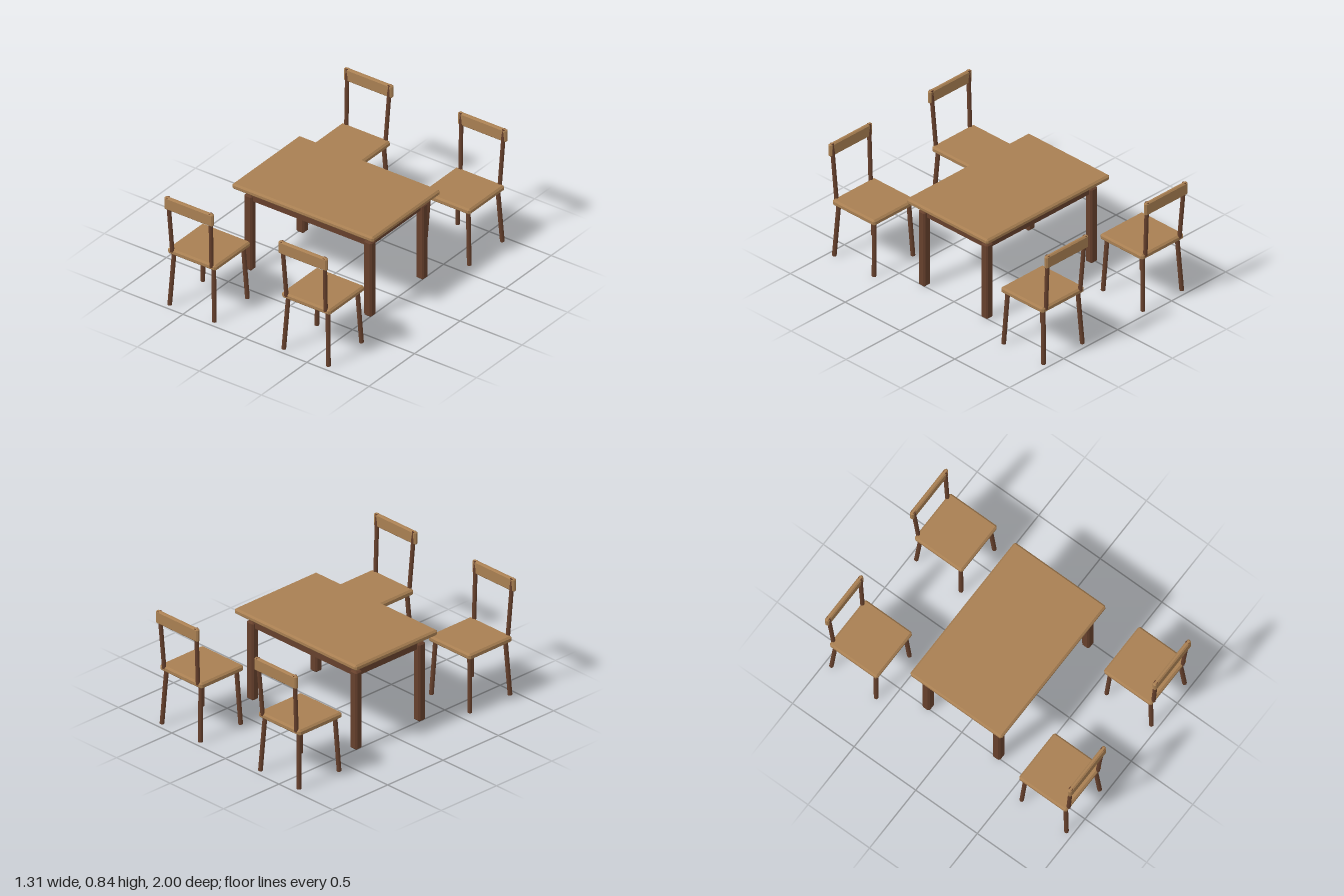
import * as THREE from 'three';
import { ConvexGeometry } from 'three/addons/geometries/ConvexGeometry.js';

const lightWood = new THREE.MeshStandardMaterial({ color: 0xa87f52 });
lightWood.name = 'light wood';
const darkWood = new THREE.MeshStandardMaterial({ color: 0x66402c });
darkWood.name = 'dark wood';

function addMesh(parent, name, geometry, material, x, y, z) {
  const mesh = new THREE.Mesh(geometry, material);
  mesh.name = name;
  mesh.position.set(x, y, z);
  parent.add(mesh);
  return mesh;
}

// Box with every edge cut at 45 degrees
function chamferBox(w, h, d, c) {
  const points = [];
  for (const sx of [-1, 1]) for (const sy of [-1, 1]) for (const sz of [-1, 1]) {
    const x = w / 2, y = h / 2, z = d / 2;
    points.push(
      new THREE.Vector3(sx * x, sy * (y - c), sz * (z - c)),
      new THREE.Vector3(sx * (x - c), sy * y, sz * (z - c)),
      new THREE.Vector3(sx * (x - c), sy * (y - c), sz * z)
    );
  }
  return new ConvexGeometry(points);
}

// Straight round stick between two points
function addStick(parent, name, from, to, radius) {
  const a = new THREE.Vector3(...from), b = new THREE.Vector3(...to);
  const dir = b.clone().sub(a);
  const mid = a.clone().add(b).multiplyScalar(0.5);
  const geometry = new THREE.CylinderGeometry(radius, radius, dir.length(), 8);
  const mesh = addMesh(parent, name, geometry, darkWood, mid.x, mid.y, mid.z);
  mesh.quaternion.setFromUnitVectors(new THREE.Vector3(0, 1, 0), dir.normalize());
}

function createTable() {
  const table = new THREE.Group();
  table.name = 'table';
  addMesh(table, 'tableTop', chamferBox(1.14, 0.042, 0.744, 0.012), lightWood, 0, 0.641, 0);
  addMesh(table, 'apron', new THREE.BoxGeometry(0.984, 0.096, 0.592), darkWood, 0, 0.578, 0);
  for (const sx of [-1, 1]) for (const sz of [-1, 1])
    addMesh(table, 'tableLeg', chamferBox(0.064, 0.572, 0.06, 0.011), darkWood, sx * 0.483, 0.288, sz * 0.286);
  return table;
}

// Chair facing -z, centred on its own x
function createChair() {
  const chair = new THREE.Group();
  chair.name = 'chair';
  addMesh(chair, 'seat', chamferBox(0.392, 0.044, 0.388, 0.012), lightWood, 0, 0.412, 0.768);
  addMesh(chair, 'backrest', chamferBox(0.392, 0.094, 0.03, 0.009), lightWood, 0, 0.795, 0.985);
  for (const s of [-1, 1]) {
    addStick(chair, 'frontLeg', [s * 0.18, 0.002, 0.591], [s * 0.159, 0.405, 0.609], 0.0155);
    addStick(chair, 'backLeg', [s * 0.18, 0.002, 0.954], [s * 0.159, 0.405, 0.932], 0.0155);
    addStick(chair, 'backPost', [s * 0.158, 0.415, 0.955], [s * 0.172, 0.84, 0.984], 0.0145);
  }
  return chair;
}

export function createModel() {
  const model = new THREE.Group();
  model.name = 'diningSet';
  model.add(createTable());
  // Two chairs on each long side, all facing the table
  for (const x of [-0.46, 0.46]) for (const turn of [0, Math.PI]) {
    const chair = createChair();
    chair.position.x = x;
    chair.rotation.y = turn;
    model.add(chair);
  }
  return model;
}
